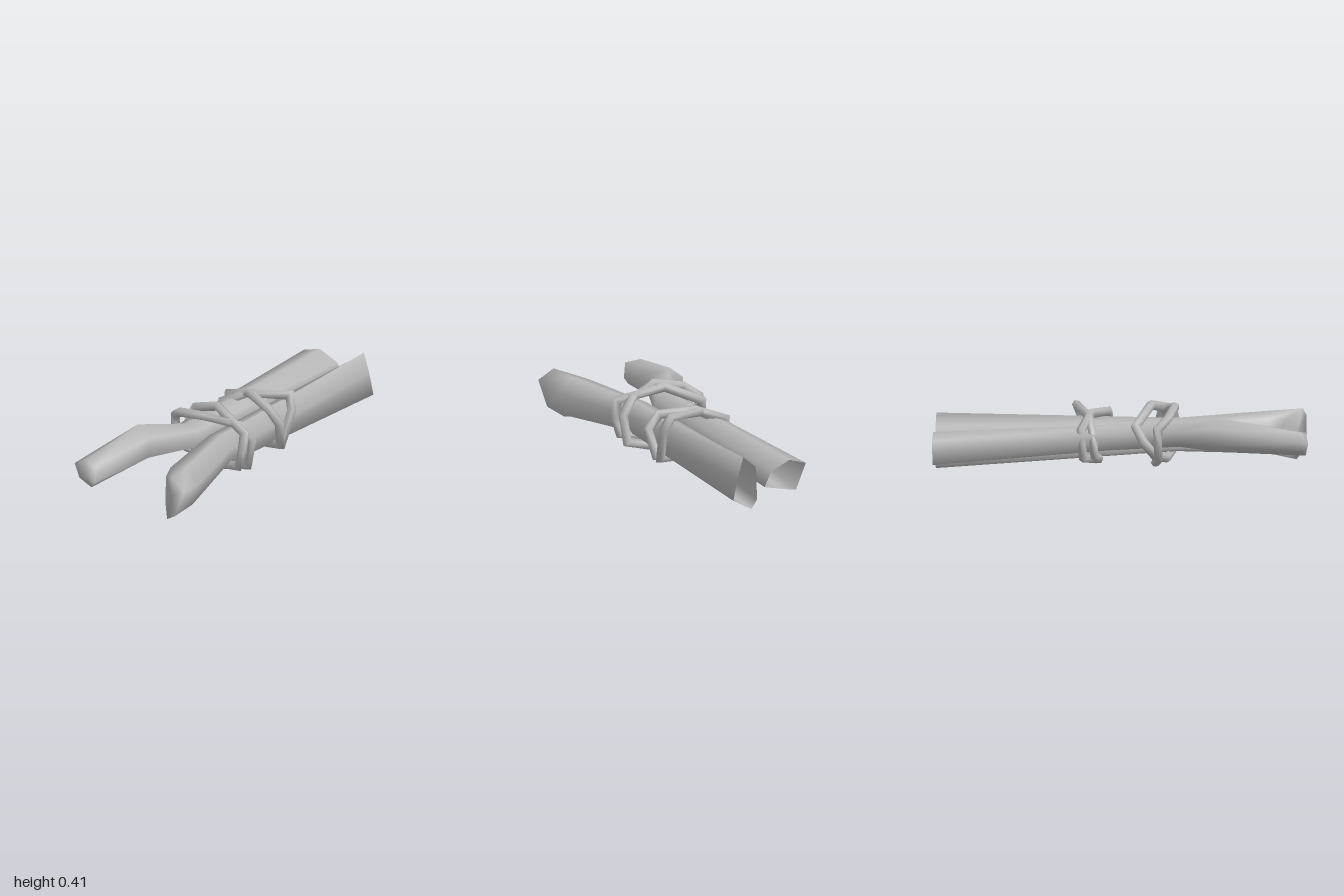
import * as THREE from 'three';

const grey = new THREE.MeshStandardMaterial({ color: 0xb8b8b8, side: THREE.DoubleSide });
grey.name = 'plain grey';

// Skin cross-sections in order. With a tip the last one closes on it; without, it joins the first.
function skin(rings, tip) {
  const n = rings[0].length, m = rings.length;
  const index = [];
  for (let i = 0; i < m; i++) {
    for (let j = 0; j < n; j++) {
      const k = (j + 1) % n, next = ((i + 1) % m) * n;
      const a = i * n + j, b = i * n + k;
      if (tip && i === m - 1) index.push(a, b, m * n);
      else index.push(a, b, next + j, b, next + k, next + j);
    }
  }
  const points = tip ? [...rings.flat(), tip] : rings.flat();
  const geometry = new THREE.BufferGeometry();
  geometry.setAttribute('position', new THREE.Float32BufferAttribute(points.flat(), 3));
  geometry.setIndex(index);
  geometry.computeVertexNormals();
  return geometry;
}

// A flat cross-section at one depth
const section = (z, points) => points.map(([x, y]) => [x, y, z]);

// A closed rope turn with straight runs and mitred corners
function ropeGeometry(corners) {
  const radius = 0.025, sides = 6;
  const points = corners.map((c) => new THREE.Vector3(...c));
  const count = points.length;
  const rings = points.map((p, i) => {
    const into = p.clone().sub(points[(i + count - 1) % count]).normalize();
    const away = points[(i + 1) % count].clone().sub(p).normalize();
    const along = into.clone().add(away).normalize();
    const outward = into.clone().sub(away).normalize();
    const across = along.clone().cross(outward);
    const mitre = radius / along.dot(away);
    return Array.from({ length: sides }, (_, s) => {
      const t = (s / sides) * Math.PI * 2;
      return p.clone()
        .addScaledVector(outward, Math.cos(t) * mitre)
        .addScaledVector(across, Math.sin(t) * radius)
        .toArray();
    });
  });
  return skin(rings);
}

export function createModel() {
  const group = new THREE.Group();
  const add = (name, geometry) => {
    const mesh = new THREE.Mesh(geometry, grey);
    mesh.name = name;
    group.add(mesh);
  };

  // Bent pole, open at the back
  add('bentPole', skin([
    section(-1, [[-0.08, 0.24], [-0.18, 0.21], [-0.12, 0.07], [-0.04, 0.085], [0.07, 0.11], [0.03, 0.19]]),
    section(0.3, [[-0.07, 0.31], [-0.15, 0.27], [-0.14, 0.2], [-0.07, 0.175], [0.005, 0.195], [0, 0.285]]),
    [[-0.22, 0.36, 0.54], [-0.28, 0.31, 0.5], [-0.27, 0.22, 0.5], [-0.2, 0.175, 0.54], [-0.12, 0.21, 0.59], [-0.12, 0.32, 0.58]],
    [[-0.28, 0.3, 0.96], [-0.35, 0.26, 0.95], [-0.3, 0.2, 0.98], [-0.22, 0.165, 0.985], [-0.195, 0.2, 0.99], [-0.2, 0.285, 0.985]],
  ], [-0.24, 0.23, 1]));

  // Straight pole with a slanted cut at the front, open at the back
  add('slantedPole', skin([
    section(-1, [[0.2, 0.29], [0.125, 0.23], [0.115, 0.05], [0.15, 0], [0.26, 0.06], [0.235, 0.175]]),
    section(0.28, [[0.14, 0.29], [0.065, 0.27], [0.035, 0.145], [0.09, 0.12], [0.18, 0.13], [0.2, 0.22]]),
    section(0.77, [[0.24, 0.315], [0.14, 0.29], [0.12, 0.13], [0.18, 0.095], [0.28, 0.11], [0.32, 0.24]]),
    [[0.26, 0.325, 0.94], [0.17, 0.28, 0.86], [0.14, 0.105, 0.82], [0.21, 0.06, 0.91], [0.29, 0.115, 0.955], [0.345, 0.27, 0.955]],
  ], [0.24, 0.2, 0.91]));

  // Two crossing rope turns in each lashing
  const turns = {
    frontRopeHigh: [[-0.155, 0.3, 0.08], [0.03, 0.38, 0.15], [0.265, 0.315, 0.25], [0.265, 0.22, 0.27],
      [0.235, 0.125, 0.265], [0.05, 0.09, 0.23], [-0.14, 0.14, 0.18], [-0.175, 0.22, 0.12]],
    frontRopeLow: [[-0.205, 0.29, 0.2], [-0.14, 0.34, 0.25], [0.03, 0.37, 0.275], [0.2, 0.33, 0.2],
      [0.265, 0.25, 0.18], [0.24, 0.1, 0.18], [0.08, 0.06, 0.17], [-0.14, 0.12, 0.2], [-0.205, 0.21, 0.2]],
    backRopeNear: [[-0.135, 0.27, -0.21], [0.02, 0.33, -0.17], [0.2, 0.31, -0.09], [0.265, 0.24, -0.09],
      [0.24, 0.1, -0.13], [0.08, 0.075, -0.15], [-0.12, 0.12, -0.2]],
    backRopeFar: [[-0.135, 0.25, -0.15], [0, 0.32, -0.18], [0.22, 0.335, -0.255], [0.25, 0.26, -0.23],
      [0.23, 0.09, -0.16], [0.05, 0.08, -0.13], [-0.12, 0.13, -0.14]],
  };
  for (const [name, corners] of Object.entries(turns)) add(name, ropeGeometry(corners));

  return group;
}
